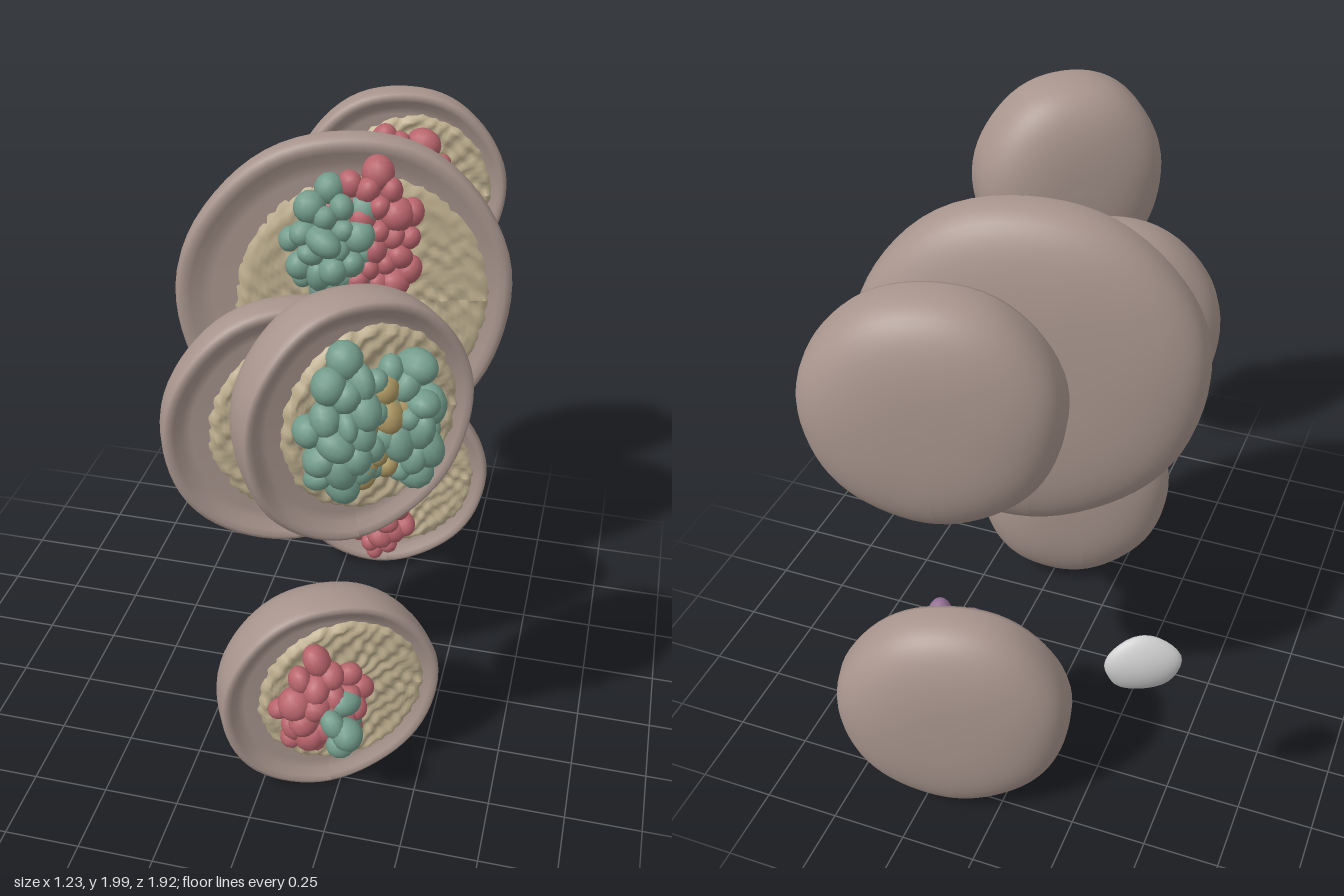
import * as THREE from 'three';

const mat = (color) => new THREE.MeshStandardMaterial({ color });
const toppingMats = { red: mat(0xb8646c), teal: mat(0x739c8c), purple: mat(0x977399), ochre: mat(0xa8935f) };
const bowlMat = mat(0xa8958d);
const grainMat = mat(0xbdae8e);

// Seeded random numbers
function seeded(seed) {
  let s = seed;
  return () => (s = (s * 16807) % 2147483647) / 2147483647;
}

// Thick bowl with a squarish back and a soft lip, opening towards +z
function bowlShell(R, depth) {
  const v = (r, y) => new THREE.Vector2(r * R, y);
  const profile = [];
  // outer wall: a superellipse quarter from the middle of the back to the lip
  for (let i = 0; i <= 16; i++) {
    const a = (i / 16) * Math.PI / 2;
    profile.push(v(Math.max(0.001, Math.sin(a) ** 0.7), -0.015 - (depth - 0.015) * Math.cos(a) ** 0.65));
  }
  // lip and shallow inside
  profile.push(v(0.985, 0.002), v(0.95, 0.008), v(0.91, 0), v(0.85, -0.016), v(0.78, -0.025), v(0.001, -0.035));
  const geo = new THREE.LatheGeometry(profile, 64);
  geo.rotateX(Math.PI / 2);
  // slightly uneven, hand-shaped wall
  const p = geo.attributes.position;
  for (let i = 0; i < p.count; i++) {
    const a = Math.atan2(p.getY(i), p.getX(i));
    const k = 1 + 0.006 * Math.sin(a * 3 + R * 20) + 0.005 * Math.sin(a * 7);
    p.setXY(i, p.getX(i) * k, p.getY(i) * k);
  }
  geo.computeVertexNormals();
  const mesh = new THREE.Mesh(geo, bowlMat);
  mesh.name = 'bowlShell';
  return mesh;
}

// Bumpy bed of grain, pushed to one side so the other side of the bowl stays bare
function grainBed(R) {
  const r = R * 0.8;
  const geo = new THREE.RingGeometry(0.001, r, 110, 28);
  const p = geo.attributes.position;
  for (let i = 0; i < p.count; i++) {
    const x = p.getX(i), y = p.getY(i);
    const edge = Math.max(0, Math.hypot(x, y) / r - 0.9) * 0.35;
    const bumps = 0.009 * Math.sin(x * 90 + Math.sin(y * 37)) * Math.sin(y * 90 + Math.sin(x * 41));
    p.setZ(i, -0.008 + bumps - edge);
  }
  geo.computeVertexNormals();
  const mesh = new THREE.Mesh(geo, grainMat);
  mesh.name = 'grainBed';
  mesh.position.x = R * 0.12;
  return mesh;
}

// Heap of lumps in a spiral: centre (x, y), half spread (w, h), height of the middle
function heap(kind, x, y, w, h, rise) {
  const group = new THREE.Group();
  group.name = kind + 'Topping';
  const rnd = seeded(Math.round(9000 + (x + w) * 700 + (y + h) * 9000));
  const ball = new THREE.SphereGeometry(1, 12, 9);
  const count = Math.ceil(w * h * 800);
  for (let i = 0; i < count; i++) {
    const a = i * 2.4, q = Math.sqrt((i + 0.4) / count);
    const lump = new THREE.Mesh(ball, toppingMats[kind]);
    lump.name = kind + 'Lump';
    const lift = 0.015 + rise * (1 - q * q) * (0.7 + 0.3 * rnd());
    lump.position.set(x + w * q * Math.cos(a), y + h * q * Math.sin(a), lift);
    const s = 0.045 * (0.75 + 0.5 * rnd());
    lump.scale.set(s, s * (0.8 + 0.6 * rnd()), s * (0.8 + 0.3 * rnd()));
    lump.rotation.set(rnd() * 3, rnd() * 3, rnd() * 3);
    group.add(lump);
  }
  return group;
}

// Bowl with its lip centred on (x, y, z), turned towards +x by an angle;
// width is the ratio of its sideways radius to its upright radius R
function filledBowl(name, x, y, z, R, width, depth, turn, ...heaps) {
  const bowl = new THREE.Group();
  bowl.name = name;
  bowl.add(bowlShell(R, depth), grainBed(R), ...heaps);
  bowl.position.set(x, y, z);
  bowl.rotation.y = turn;
  bowl.scale.x = width;
  return bowl;
}

// Small flat pebble, bent like a shallow dish
function makePebble() {
  const geo = new THREE.SphereGeometry(1, 28, 18);
  geo.scale(0.106, 0.1, 0.03);
  const p = geo.attributes.position;
  for (let i = 0; i < p.count; i++) {
    const y = p.getY(i);
    p.setX(i, p.getX(i) * (1 + 0.06 * Math.sin(y * 40)));
    p.setZ(i, p.getZ(i) + 2.2 * y * y - 0.008);
  }
  geo.computeVertexNormals();
  const pebble = new THREE.Mesh(geo, mat(0xcccccc));
  pebble.name = 'pebble';
  pebble.position.set(-0.518, 1, -0.9);
  pebble.rotation.y = 0.45;
  return pebble;
}

export function createModel() {
  const model = new THREE.Group();
  model.name = 'floatingBowls';
  model.add(
    filledBowl('upperFrontBowl', 0.34, 1.58, 0.76, 0.367, 0.91, 0.25, 0.63,
      heap('ochre', 0.02, 0, 0.13, 0.15, 0.05),
      heap('teal', -0.06, 0.03, 0.13, 0.2, 0.09),
      heap('teal', 0.13, 0, 0.09, 0.2, 0.08)),
    filledBowl('plainBowl', 0.055, 1.255, 0.32, 0.415, 1, 0.225, 0.43),
    filledBowl('largeBowl', 0.085, 1.435, -0.195, 0.565, 0.97, 0.21, 0.25,
      heap('red', 0.07, 0.22, 0.17, 0.24, 0.07),
      heap('teal', -0.05, 0.24, 0.15, 0.18, 0.14),
      heap('teal', 0.06, -0.24, 0.1, 0.13, 0.1)),
    filledBowl('upperBackBowl', 0.165, 1.605, -0.69, 0.375, 0.99, 0.215, 0.27,
      heap('red', 0, 0.02, 0.16, 0.23, 0.08),
      heap('teal', -0.02, -0.04, 0.08, 0.11, 0.14),
      heap('purple', 0.13, 0.03, 0.05, 0.08, 0.04)),
    filledBowl('lowerBackBowl', 0.17, 0.415, -0.69, 0.395, 0.96, 0.215, 0.27,
      heap('red', -0.04, -0.15, 0.12, 0.18, 0.06),
      heap('purple', 0.01, 0.18, 0.13, 0.15, 0.05),
      heap('teal', -0.04, 0.05, 0.1, 0.11, 0.16)),
    filledBowl('lowerFrontBowl', 0.22, 0.385, 0.53, 0.375, 0.97, 0.265, 0.49,
      heap('red', -0.05, 0.02, 0.15, 0.18, 0.09),
      heap('teal', -0.01, -0.01, 0.07, 0.1, 0.22)),
    makePebble(),
  );
  return model;
}
